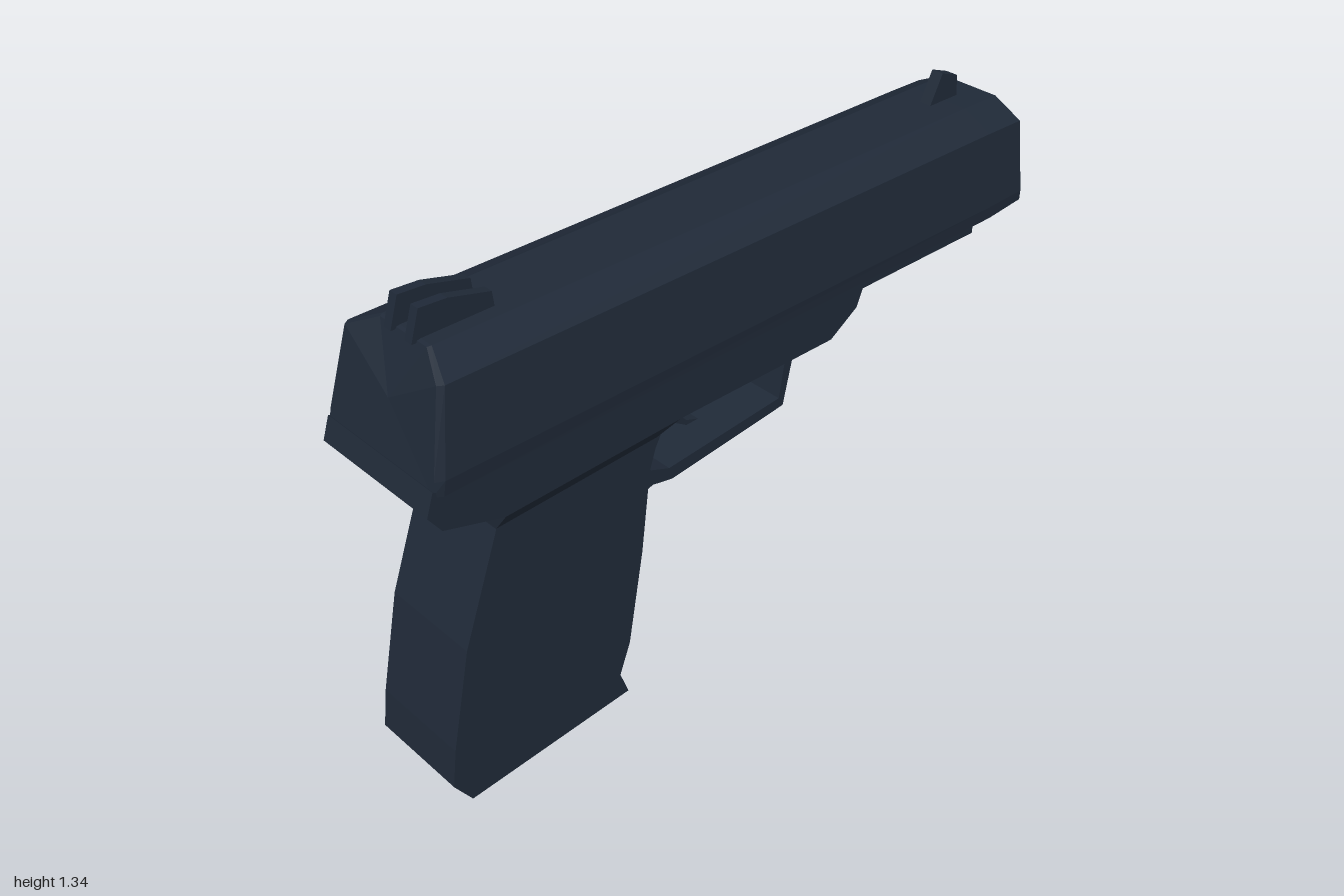
import * as THREE from 'three';

const dark = new THREE.MeshStandardMaterial({ color: 0x1f2937, flatShading: true });
const smooth = new THREE.MeshStandardMaterial({ color: 0x1f2937, side: THREE.DoubleSide });
const black = new THREE.MeshStandardMaterial({ color: 0x0b0b0b });

function part(name, geometry, material = dark) {
  const mesh = new THREE.Mesh(geometry, material);
  mesh.name = name;
  return mesh;
}

// Side outline [x, y] extruded evenly across z, centred on zMid
function slab(name, outline, halfWidth, zMid = 0) {
  const shape = new THREE.Shape(outline.map(([x, y]) => new THREE.Vector2(x, y)));
  const geo = new THREE.ExtrudeGeometry(shape, { depth: halfWidth * 2, bevelEnabled: false });
  geo.translate(0, 0, zMid - halfWidth);
  return part(name, geo);
}

// Joins half cross-sections of [x, y, z] points, mirrored across z, with capped ends
function loft(name, halves) {
  const rings = halves.map(h => [...h, ...h.map(([x, y, z]) => [x, y, -z]).reverse()]);
  const n = rings[0].length;
  const pos = [];
  const tri = (...corners) => corners.forEach(c => pos.push(...c));
  const centre = ring => [0, 1, 2].map(k => ring.reduce((sum, p) => sum + p[k], 0) / n);
  const first = rings[0], last = rings[rings.length - 1];
  for (let j = 0; j < n; j++) {
    const k = (j + 1) % n;
    for (let i = 0; i + 1 < rings.length; i++) {
      const a = rings[i], b = rings[i + 1];
      tri(a[j], b[j], b[k]);
      tri(a[j], b[k], a[k]);
    }
    tri(centre(first), first[j], first[k]);
    tri(centre(last), last[k], last[j]);
  }
  const geo = new THREE.BufferGeometry();
  geo.setAttribute('position', new THREE.Float32BufferAttribute(pos, 3));
  geo.computeVertexNormals();
  return part(name, geo);
}

function box(name, x0, x1, y0, y1, halfWidth) {
  const geo = new THREE.BoxGeometry(x1 - x0, y1 - y0, halfWidth * 2);
  geo.translate((x0 + x1) / 2, (y0 + y1) / 2, 0);
  return part(name, geo);
}

function muzzle() {
  const group = new THREE.Group();
  group.name = 'muzzle';
  group.position.set(0.965, 1.147, 0);

  // Rounded plate around the barrel
  const w = 0.072, h = 0.093, r = 0.025;
  const s = new THREE.Shape();
  s.moveTo(-w + r, -h);
  s.lineTo(w - r, -h);
  s.quadraticCurveTo(w, -h, w, -h + r);
  s.lineTo(w, h - r);
  s.quadraticCurveTo(w, h, w - r, h);
  s.lineTo(-w + r, h);
  s.quadraticCurveTo(-w, h, -w, h - r);
  s.lineTo(-w, -h + r);
  s.quadraticCurveTo(-w, -h, -w + r, -h);
  const plate = new THREE.ExtrudeGeometry(s, { depth: 0.018, bevelEnabled: false, curveSegments: 4 });
  plate.rotateY(Math.PI / 2);
  group.add(part('muzzlePlate', plate));

  // Barrel ring and dark bore
  const profile = [[0.057, 0], [0.057, 0.035], [0.045, 0.035], [0.045, 0.019]];
  const ring = new THREE.LatheGeometry(profile.map(p => new THREE.Vector2(...p)), 24);
  ring.rotateZ(-Math.PI / 2).translate(0, 0.008, 0);
  smooth.flatShading = true;
  group.add(part('barrelRing', ring, smooth));
  const bore = new THREE.CircleGeometry(0.046, 24);
  bore.rotateY(Math.PI / 2).translate(0.02, 0.008, 0);
  group.add(part('bore', bore, black));
  return group;
}

export function createModel() {
  const model = new THREE.Group();
  model.name = 'pistol';

  // Slide: tapered sides, chamfered top, raked rear
  model.add(loft('slide', [
    [[-0.98, 0.985, 0.195], [-0.972, 1.02, 0.195], [-0.925, 1.23, 0.168], [-0.885, 1.27, 0.085]],
    [[-0.955, 0.98, 0.203], [-0.95, 1.02, 0.206], [-0.91, 1.23, 0.178], [-0.875, 1.272, 0.09]],
    [[0.84, 0.986, 0.203], [0.84, 1.02, 0.204], [0.84, 1.224, 0.178], [0.84, 1.267, 0.09]],
    [[0.965, 0.998, 0.203], [0.965, 1.025, 0.204], [0.965, 1.222, 0.178], [0.965, 1.265, 0.09]],
  ]));
  model.add(muzzle());

  // Frame below the slide
  model.add(slab('frame', [
    [-1, 0.94], [-0.965, 0.89], [-0.8, 0.84], [-0.26, 0.857], [0.24, 0.857],
    [0.33, 0.915], [0.36, 0.985], [-0.955, 0.985], [-0.98, 1.0],
  ], 0.198));

  // Front of the frame with its accessory rail
  model.add(box('dustCover', 0.3, 0.84, 0.92, 0.99, 0.15));
  model.add(box('accessoryRail', 0.28, 0.835, 0.9, 0.925, 0.07));

  // Grip and the neck flaring into the frame
  model.add(slab('grip', [
    [-0.925, 0.005], [-0.42, 0.04], [-0.445, 0.11], [-0.41, 0.2], [-0.36, 0.47],
    [-0.33, 0.7], [-0.31, 0.76], [-0.26, 0.85], [-0.79, 0.84], [-0.79, 0.77],
    [-0.9, 0.47], [-0.96, 0.19], [-0.975, 0.08],
  ], 0.145));
  model.add(loft('gripNeck', [
    [[-0.305, 0.79, 0.145], [-0.79, 0.772, 0.145]],
    [[-0.26, 0.86, 0.198], [-0.795, 0.842, 0.198]],
  ]));

  // Trigger guard loop and its flared front root
  model.add(slab('triggerGuard', [
    [0.24, 0.86], [0.22, 0.8], [0.18, 0.632], [-0.21, 0.59], [-0.275, 0.603], [-0.335, 0.585],
    [-0.345, 0.69], [-0.325, 0.685], [-0.28, 0.65], [-0.22, 0.627], [0.165, 0.66],
    [0.19, 0.8], [0.15, 0.86],
  ], 0.092));
  model.add(loft('guardRoot', [
    [[0.22, 0.795, 0.092], [0.188, 0.795, 0.092]],
    [[0.245, 0.86, 0.198], [0.147, 0.86, 0.198]],
  ]));

  // Trigger
  model.add(slab('trigger', [
    [-0.16, 0.87], [-0.152, 0.7], [-0.1, 0.667], [-0.06, 0.668], [-0.1, 0.682],
    [-0.128, 0.712], [-0.117, 0.82], [-0.113, 0.87],
  ], 0.025));

  // Sights
  for (const side of [1, -1]) {
    model.add(slab(side > 0 ? 'rearSightLeft' : 'rearSightRight', [
      [-0.9, 1.265], [-0.68, 1.265], [-0.685, 1.31], [-0.8, 1.34], [-0.875, 1.345],
    ], 0.013, side * 0.038));
  }
  model.add(slab('frontSight', [
    [0.78, 1.26], [0.89, 1.26], [0.885, 1.325], [0.825, 1.347],
  ], 0.018));

  return model;
}
